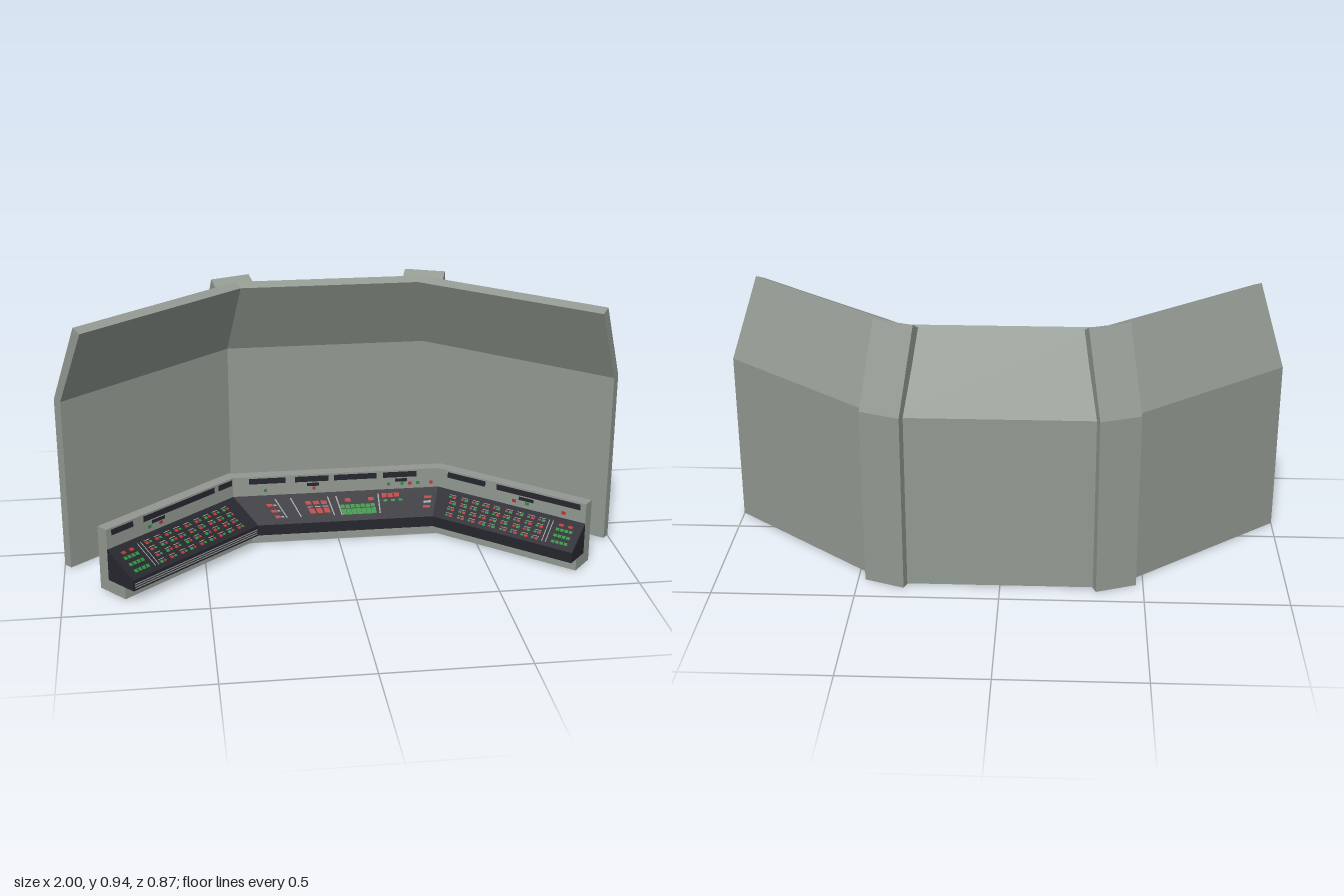
import * as THREE from 'three';

const flat = (name, color) => Object.assign(new THREE.MeshStandardMaterial({ color }), { name });

export function createModel() {
  const mats = {
    hull: flat('hull grey', 0x929991),
    dark: flat('console dark', 0x26262e),
    red: flat('lamp red', 0xb83434),
    green: flat('lamp green', 0x2c8f3c),
    pale: flat('marking grey', 0x9a9c9c),
  };
  const group = new THREE.Group();
  group.name = 'controlStation';
  const V = (x, y, z) => new THREE.Vector3(x, y, z);

  const meshFrom = (name, points, mat) => {
    const geo = new THREE.BufferGeometry().setFromPoints(points);
    geo.computeVertexNormals();
    const mesh = new THREE.Mesh(geo, mat);
    mesh.name = name;
    group.add(mesh);
  };

  // Joins matching cross-sections, listed from -x to +x, into a closed solid;
  // the side on profile edge "base" becomes a separate dark underside
  const sweep = (name, stations, mat, base) => {
    const out = [], under = [];
    const n = stations[0].length;
    for (let s = 0; s + 1 < stations.length; s++) {
      for (let i = 0; i < n; i++) {
        const j = (i + 1) % n, p = stations[s], q = stations[s + 1];
        (i === base ? under : out).push(p[i], q[i], q[j], p[i], q[j], p[j]);
      }
    }
    const l = stations[0], r = stations[stations.length - 1];
    for (let i = 1; i + 1 < n; i++) out.push(l[0], l[i], l[i + 1], r[0], r[i + 1], r[i]);
    meshFrom(name, out, mat);
    meshFrom(name + 'Underside', under, mats.dark);
  };

  // Three-sided layout: rear corner (cx, cz) and rear end (ex, ez), offset inwards by d.
  // A profile point is [d, y, optional deeper d for the wing at -x]
  const layout = (cx, cz, ex, ez) => {
    const len = Math.hypot(ex - cx, ez - cz);
    const c = (ex - cx) / len, s = (ez - cz) / len, t = Math.tan(Math.atan2(s, c) / 2);
    const end = (d, y, side) => V(side * (ex - s * d), y, ez + c * d);
    const corner = (d, y, side, dw) => V(side * (cx - t * dw - (dw - d) * c / s), y, cz + d);
    return (profile) => [
      profile.map(([d, y, w = d]) => end(w, y, -1)),
      profile.map(([d, y, w = d]) => corner(d, y, -1, w)),
      profile.map(([d, y]) => corner(d, y, 1, d)),
      profile.map(([d, y]) => end(d, y, 1)),
    ];
  };

  // Surrounding wall with forward-leaning upper half
  const wall = layout(0.387, -0.41, 1.0, 0.105);
  sweep('wall', wall([[0.035, 0.635], [0.165, 0.907], [0.13, 0.922],
    [0, 0.637], [0, 0.005], [0.035, 0.005]]), mats.hull, 4);

  // Corner pillars behind the wall joints
  const rib = [[0.036, 0.635], [0.158, 0.915], [0.12, 0.937], [0, 0.645], [0, 0.002], [0.036, 0.002]];
  for (const side of [-1, 1]) {
    const station = (a) => rib.map(([d, y]) =>
      V(side * (0.405 + 0.935 * a - 0.36 * d), y, -0.41 + 0.36 * a + 0.935 * d));
    sweep(side > 0 ? 'leftPillar' : 'rightPillar', [station(-0.075 * side), station(0.075 * side)], mats.hull, 4);
  }

  // Console: upright back panel, plinth and sloping desk
  const desk = layout(0.4, -0.1, 0.87, 0.303);
  const backStations = desk([[0.045, 0.005], [0.045, 0.24], [0, 0.24], [0, 0.005]]);
  const deskStations = desk([[0.045, 0.05], [0.145, 0.05, 0.175], [0.145, 0.09, 0.175], [0.045, 0.165]]);
  sweep('consoleBack', backStations, mats.hull, 3);
  sweep('consolePlinth', desk([[0.045, 0.005], [0.105, 0.005, 0.13], [0.105, 0.05, 0.13], [0.045, 0.05]]), mats.hull, 0);
  sweep('consoleDesk', deskStations, mats.dark, 0);

  // Painted patches: u runs along one wing of a face, v runs up it
  const paint = {};
  const faceOf = (stations, wing, i) => {
    const p = stations[wing], q = stations[wing + 1];
    const a = p[i], b = q[i], c = q[i + 1], d = p[i + 1];
    const lift = b.clone().sub(a).cross(d.clone().sub(a)).normalize().multiplyScalar(0.002);
    const at = (u, v) => a.clone().lerp(b, u).lerp(d.clone().lerp(c, u), v).add(lift);
    const patch = (kind, u, v, w, h) => {
      const k = [at(u, v), at(u + w, v), at(u + w, v + h), at(u, v + h)];
      (paint[kind] ??= []).push(k[0], k[1], k[2], k[0], k[2], k[3]);
    };
    patch.u = (x) => (x - a.x) / (b.x - a.x);
    return patch;
  };

  // Back panel displays and lamps, as [from x, to x, low y, high y]
  const backFaces = [0, 1, 2].map((w) => faceOf(backStations, w, 0));
  const onBack = (kind, x0, x1, y0, y1) => {
    const f = backFaces[x0 < -0.383 ? 0 : x0 < 0.383 ? 1 : 2];
    f(kind, f.u(x0), (y0 - 0.005) / 0.235, f.u(x1) - f.u(x0), (y1 - y0) / 0.235);
  };
  for (const [a, b] of [[-0.825, -0.75], [-0.715, -0.455], [-0.44, -0.388], [-0.325, -0.19], [-0.155, -0.03],
    [-0.01, 0.15], [0.175, 0.3], [0.415, 0.535], [0.57, 0.825]]) onBack('dark', a, b, 0.212, 0.234);
  for (const x of [-0.685, -0.11, 0.22, 0.64]) onBack('dark', x, x + 0.045, 0.194, 0.207);
  for (const x of [-0.66, -0.09, 0.27, 0.35, 0.62, 0.77]) onBack('red', x, x + 0.012, 0.18, 0.192);
  for (const x of [-0.7, -0.27, 0.19, 0.24, 0.3, 0.66]) onBack('green', x, x + 0.012, 0.18, 0.192);

  // Wing controls: rows of paired keys, each with a pale caption above
  let seed = 7;
  const rnd = () => (seed = (seed * 16807) % 2147483647) / 2147483647;
  for (const wing of [0, 2]) {
    const f = faceOf(deskStations, wing, 2);
    const flip = (kind, u, v, w, h) => f(kind, wing ? 1 - u - w : u, v, w, h);
    for (let r = 0; r < 4; r++) {
      const v = 0.12 + r * 0.2;
      for (let c = 0; c < 9; c++) {
        const u = 0.24 + c * 0.077 + (rnd() - 0.5) * 0.012;
        const first = rnd() < 0.55 ? 'red' : 'green';
        flip(first, u, v, 0.024, 0.075);
        flip(first === 'red' ? 'green' : 'red', u + 0.031, v + 0.01, 0.018, 0.06);
        flip('pale', u, v + 0.1, 0.045, 0.02);
      }
      // Lamp bank at the outer end
      if (r < 3) {
        for (let c = 0; c < 4; c++) flip('green', 0.05 + c * 0.029, v + 0.04, 0.023, 0.09);
      } else {
        flip('red', 0.06, v, 0.03, 0.08);
        flip('red', 0.12, v, 0.03, 0.08);
      }
    }
    for (const u of [0.19, 0.215]) flip('pale', u, 0.12, 0.006, 0.72);
  }

  // Centre controls
  const mid = faceOf(deskStations, 1, 2);
  const key = (kind, x, v, w, h) => mid(kind, (x + 0.345) / 0.71, v, w / 0.71, h);
  for (const x of [-0.215, -0.16, -0.03, 0, 0.15]) key('pale', x, 0.2, 0.005, 0.65);
  for (let i = 0; i < 3; i++) {
    key('red', -0.115 + i * 0.028, 0.3, 0.021, 0.17);
    key('red', -0.115 + i * 0.028, 0.6, 0.021, 0.12);
    key('pale', -0.115 + i * 0.028, 0.51, 0.021, 0.03);
    key('red', -0.255, 0.2 + i * 0.2, 0.02, 0.09);
    key('pale', -0.232, 0.22 + i * 0.2, 0.01, 0.05);
    key('red', 0.165 + i * 0.022, 0.72, 0.018, 0.14);
    key('green', 0.17 + i * 0.028, 0.58, 0.014, 0.07);
    key(i === 1 ? 'pale' : 'red', 0.32, 0.3 + i * 0.16, 0.028, 0.08);
  }
  for (let i = 0; i < 7; i++) {
    key('green', 0.006 + i * 0.019, 0.2, 0.018, 0.2);
    key('green', 0.006 + i * 0.019, 0.42, 0.016, 0.12);
  }
  for (const x of [0.03, 0.115]) key('red', x, 0.64, 0.02, 0.11);

  // Louvred strip along the deeper wing's front edge
  const edge = faceOf(deskStations, 0, 1);
  for (let i = 0; i < 3; i++) edge('pale', 0.01, 0.18 + i * 0.21, 0.98, 0.12);

  const names = { dark: 'displays', red: 'redLamps', green: 'greenLamps', pale: 'markings' };
  for (const kind in paint) meshFrom(names[kind], paint[kind], mats[kind]);
  return group;
}
